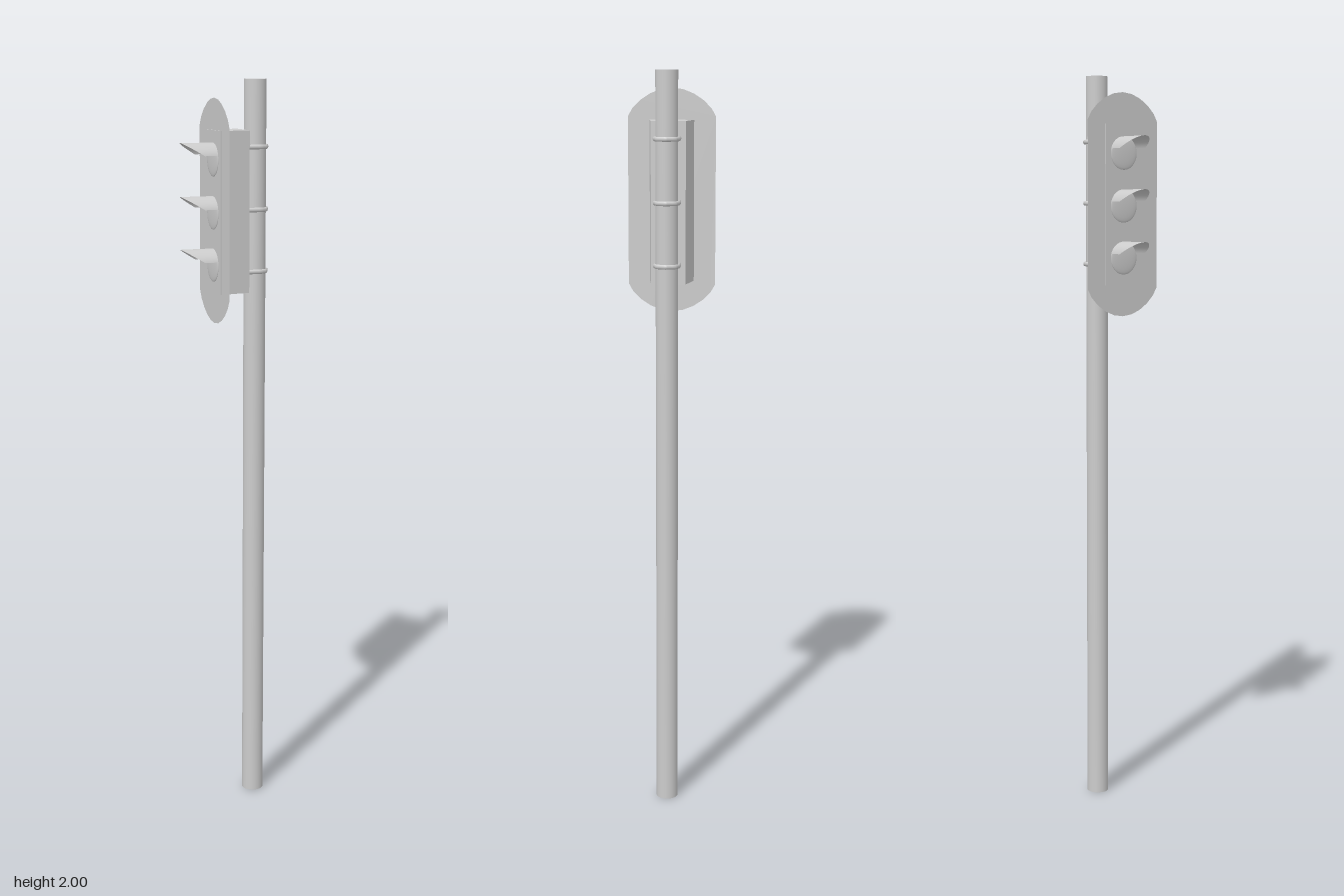
import * as THREE from 'three';
import { ParametricGeometry } from 'three/addons/geometries/ParametricGeometry.js';

const grey = new THREE.MeshStandardMaterial({ color: 0xcccccc });
const thin = new THREE.MeshStandardMaterial({ color: 0xcccccc, side: THREE.DoubleSide });

const POLE_X = 0.084;
const FRONT_X = -0.034;

export function createModel() {
  const model = new THREE.Group();
  const add = (name, geometry, material, x = 0, y = 0, z = 0) => {
    const mesh = new THREE.Mesh(geometry, material);
    mesh.name = name;
    mesh.position.set(x, y, z);
    model.add(mesh);
    return mesh;
  };

  // Round pole
  add('pole', new THREE.CylinderGeometry(0.0295, 0.0295, 2, 32), grey, POLE_X, 1);

  // Signal housing, narrower towards the pole
  const plan = new THREE.Shape([
    new THREE.Vector2(FRONT_X, -0.06), new THREE.Vector2(0.052, -0.046),
    new THREE.Vector2(0.052, 0.046), new THREE.Vector2(FRONT_X, 0.06),
  ]);
  const housing = new THREE.ExtrudeGeometry(plan, { depth: 0.425, bevelEnabled: false });
  housing.rotateX(-Math.PI / 2);
  add('housing', housing, grey, 0, 1.445);

  // Thin backplate with rounded ends
  const end = [[0.117, 0.222], [0.105, 0.243], [0.084, 0.264], [0.058, 0.281], [0.03, 0.292], [0, 0.296]];
  const top = [...end, ...end.slice(0, -1).reverse().map(([z, y]) => [-z, y])];
  const outline = [...top, ...top.map(([z, y]) => [-z, -y])];
  const plate = new THREE.ShapeGeometry(new THREE.Shape(outline.map(([z, y]) => new THREE.Vector2(z, y))));
  plate.rotateY(-Math.PI / 2);
  add('backplate', plate, thin, -0.03, 1.657);

  // Lenses with hoods cut back at a slant
  const r = 0.044, start = 0.27;
  const low = Math.sin(start);
  const hood = new ParametricGeometry((u, v, p) => {
    const a = start + u * (Math.PI - 2 * start);
    const length = 0.036 + 0.054 * (Math.sin(a) - low) / (1 - low);
    p.set(-v * length, r * Math.sin(a), r * Math.cos(a));
  }, 24, 4);
  const lens = new THREE.SphereGeometry(r, 24, 6, 0, Math.PI * 2, 0, Math.PI / 2);
  lens.scale(1, 0.1, 1);
  lens.rotateZ(Math.PI / 2);
  for (const y of [1.794, 1.655, 1.517]) {
    add('lens', lens, grey, FRONT_X, y);
    add('hood', hood, thin, FRONT_X, y);
  }

  // Straps holding the housing to the pole
  const half = [[0.048, 0.03], [0.072, 0.032], [0.09, 0.0325], [0.108, 0.024]];
  const path = new THREE.CurvePath();
  const points = [...half, [0.118, 0], ...half.slice().reverse().map(([x, z]) => [x, -z])]
    .map(([x, z]) => new THREE.Vector3(x, 0, z));
  for (let i = 1; i < points.length; i++) path.add(new THREE.LineCurve3(points[i - 1], points[i]));
  const strap = new THREE.TubeGeometry(path, 40, 0.004, 8, false);
  strap.scale(1, 1.5, 1);
  strap.computeVertexNormals();
  for (const y of [1.826, 1.662, 1.498]) add('strap', strap, grey, 0, y);

  return model;
}
